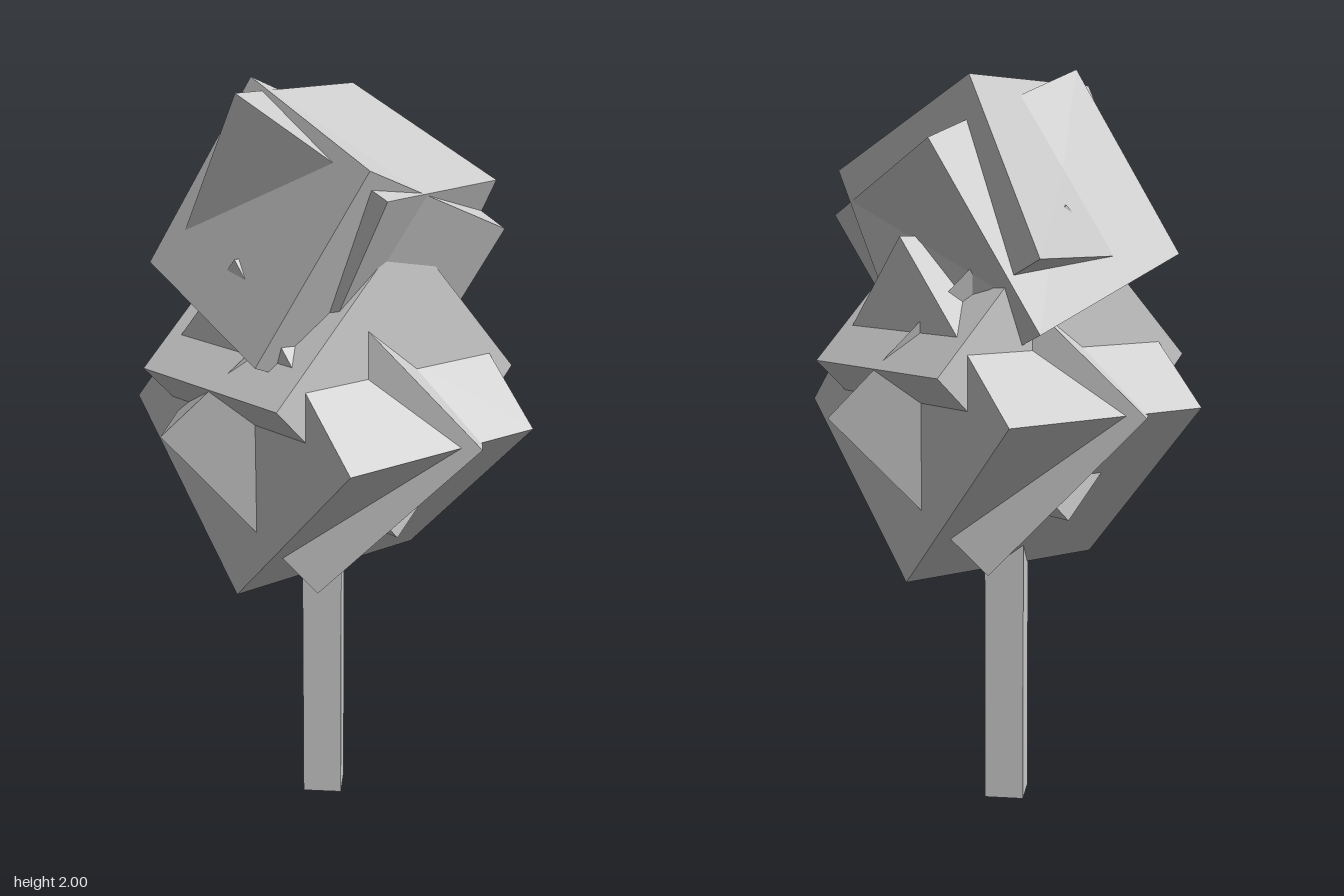
import * as THREE from 'three';

const rad = THREE.MathUtils.degToRad;

export function createModel() {
  const tree = new THREE.Group();
  tree.name = 'blockTree';
  const material = new THREE.MeshStandardMaterial({ color: 0xcccccc, flatShading: true });

  // One block, turned about y (yaw) and rolled about z; order decides which turn is outermost
  function block(name, size, position, yaw = 0, roll = 0, order = 'YXZ') {
    const mesh = new THREE.Mesh(new THREE.BoxGeometry(...size), material);
    mesh.name = name;
    mesh.position.set(...position);
    mesh.rotation.set(0, rad(yaw), rad(roll), order);
    tree.add(mesh);
  }

  // Square trunk, running up inside the foliage
  block('trunk', [0.107, 0.95, 0.107], [-0.015, 0.475, 0.022]);

  // Lower foliage: three cubes standing on an edge
  block('lowerFoliageLarge', [0.64, 0.64, 0.634], [0, 1.115, 0], -45, -46);
  block('lowerFoliageStraight', [0.58, 0.58, 0.565], [0, 1.11, 0], 0, -46);
  block('middleFoliage', [0.575, 0.575, 0.57], [0, 1.24, 0], 45, -46);

  // Upper foliage: two leaning cubes
  block('upperFoliageFront', [0.535, 0.553, 0.535], [-0.011, 1.569, 0.012], 45, -30, 'ZYX');
  block('upperFoliageBack', [0.512, 0.502, 0.5], [0.009, 1.627, -0.003], -31.5, -26.5);

  return tree;
}
